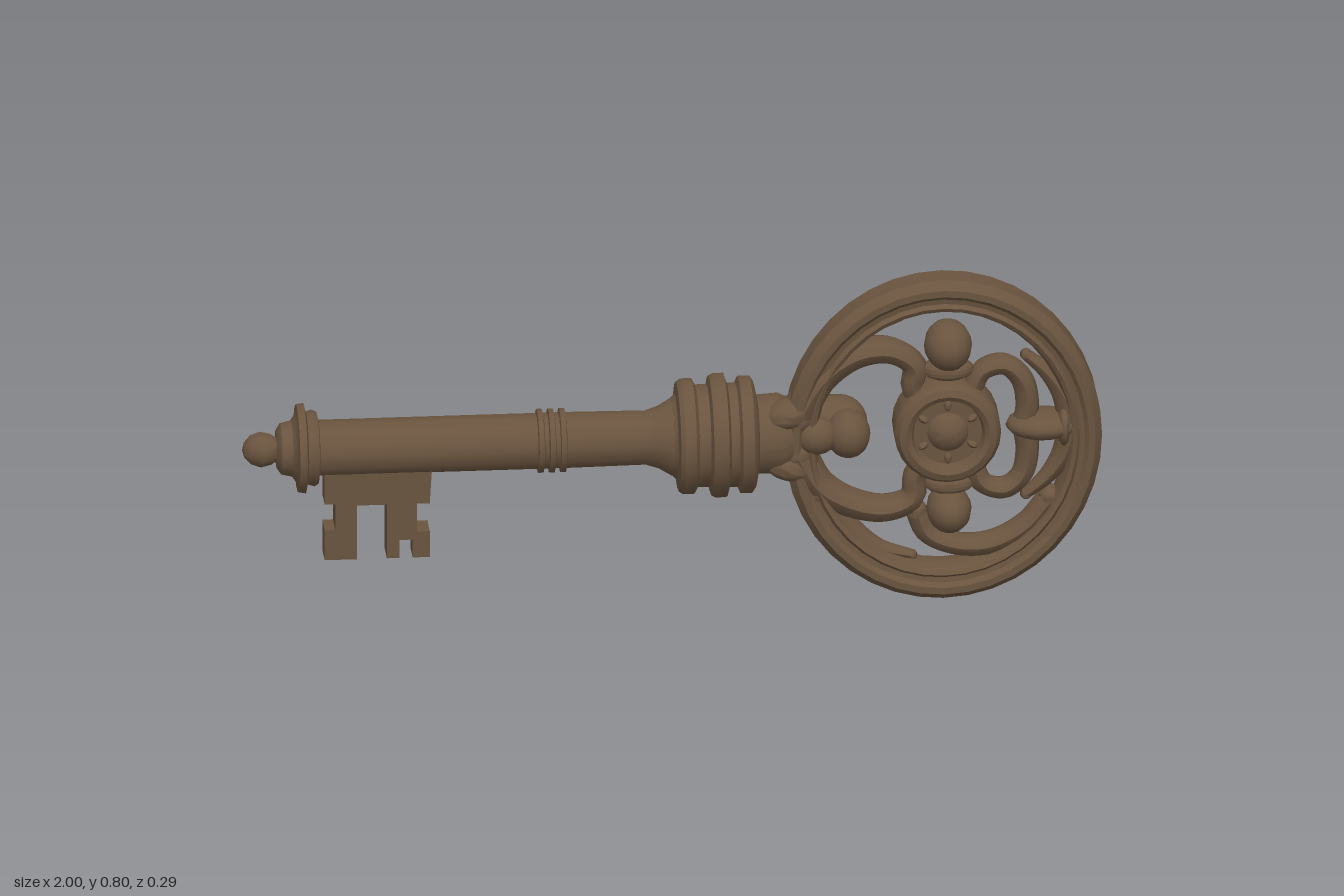
import * as THREE from 'three';
import { toCreasedNormals } from 'three/addons/utils/BufferGeometryUtils.js';

const AXIS_Y = 0.405; // height of the shaft
const BOW_Z = 0.024;  // middle plane of the bow

export function createModel() {
  const key = new THREE.Group();
  key.name = 'ornateKey';
  const bronze = new THREE.MeshStandardMaterial({ color: 0x6a543f });
  bronze.name = 'agedBronze';

  const add = (name, geo, x = 0, y = 0, z = 0, crease = 0.6) => {
    const mesh = new THREE.Mesh(toCreasedNormals(geo, crease), bronze);
    mesh.name = name;
    mesh.position.set(x, y, z);
    key.add(mesh);
    return mesh;
  };
  const vec2 = (list) => list.map(([a, b]) => new THREE.Vector2(a, b));

  // turned part along x, profile as [x, radius]
  const turned = (name, profile, sides = 18) =>
    add(name, new THREE.LatheGeometry(vec2(profile.map(([x, r]) => [r, x])), sides).rotateZ(-Math.PI / 2), 0, AXIS_Y, 0);

  // turned part facing z, profile as [radius, z]
  const disc = (name, profile, x, y, sides = 24) =>
    add(name, new THREE.LatheGeometry(vec2(profile), sides).rotateX(Math.PI / 2), x, y, BOW_Z);

  const blob = (name, x, y, z, rx, ry, rz, turn = 0) =>
    add(name, new THREE.SphereGeometry(1, 14, 10).scale(rx, ry, rz).rotateZ(turn), x, y, z, 1);

  // tapered scroll through [x, y] points, radius from r0 to r1
  const scroll = (name, points, r0, r1, depth = 1.25) => {
    const curve = new THREE.CatmullRomCurve3(points.map(([x, y]) => new THREE.Vector3(x, y, 0)));
    const steps = 28, sides = 8;
    const geo = new THREE.TubeGeometry(curve, steps, 1, sides);
    const pos = geo.attributes.position;
    const v = new THREE.Vector3();
    for (let i = 0; i < pos.count; i++) {
      const t = Math.floor(i / (sides + 1)) / steps;
      const c = curve.getPointAt(t);
      const r = r0 + (r1 - r0) * t;
      v.fromBufferAttribute(pos, i).sub(c).multiplyScalar(r).add(c);
      pos.setXYZ(i, v.x, v.y, v.z * depth);
    }
    add(name, geo, 0, 0, BOW_Z, 0.9);
    [[points[0], r0], [points[points.length - 1], r1]].forEach(([p, r]) =>
      blob(name + 'End', p[0], p[1], BOW_Z, r, r, r * depth));
  };

  // shaft with end knob, end flange and middle rings
  turned('endKnob', [[-1, 0], [-0.995, 0.018], [-0.98, 0.034], [-0.957, 0.042], [-0.933, 0.036], [-0.918, 0.026], [-0.9, 0.03]]);
  turned('endFlange', [[-0.92, 0], [-0.92, 0.045], [-0.91, 0.06], [-0.885, 0.066], [-0.875, 0.08], [-0.872, 0.103],
    [-0.855, 0.106], [-0.85, 0.085], [-0.835, 0.09], [-0.825, 0.085], [-0.822, 0.066]]);
  turned('shaft', [[-0.84, 0], [-0.84, 0.066], [-0.24, 0.066], [-0.06, 0.064], [-0.03, 0.074], [0, 0.092], [0.03, 0.098]], 14);
  for (let i = 0; i < 3; i++) {
    const x = -0.315 + i * 0.026;
    turned('shaftRing' + i, [[x, 0.06], [x + 0.003, 0.075], [x + 0.015, 0.075], [x + 0.018, 0.06]]);
  }

  // ribbed collar between shaft and bow
  turned('collar', [[-0.01, 0.08], [0.01, 0.1], [0.014, 0.128], [0.024, 0.135], [0.05, 0.135], [0.058, 0.12], [0.085, 0.12],
    [0.09, 0.14], [0.1, 0.145], [0.125, 0.145], [0.132, 0.122], [0.152, 0.122], [0.158, 0.137], [0.185, 0.137],
    [0.193, 0.125], [0.2, 0.092], [0.25, 0.095], [0.28, 0.08], [0.3, 0]], 20);

  // rounded peg behind the bow and beads in front of it
  const peg = new THREE.CapsuleGeometry(0.065, 0.17, 6, 14).rotateZ(Math.PI / 2);
  add('backPeg', peg, 0.31, 0.415, -0.033, 1);
  blob('frontBeadSmall', 0.335, 0.415, 0.045, 0.05, 0.045, 0.045);
  blob('frontBeadLarge', 0.41, 0.412, 0.03, 0.052, 0.058, 0.06);
  [1, -1].forEach((s) => blob('collarClaw', 0.27, AXIS_Y + s * 0.065, 0.035, 0.06, 0.035, 0.055, s * 0.25));

  // grooved oval rim of the bow
  const rim = disc('bowRim', [[0.382, -0.053], [0.4, -0.03], [0.4, 0.03], [0.382, 0.053], [0.366, 0.053], [0.356, 0.042],
    [0.344, 0.04], [0.336, 0.05], [0.326, 0.044], [0.317, 0.022], [0.317, -0.022], [0.326, -0.044], [0.336, -0.05],
    [0.344, -0.04], [0.356, -0.042], [0.366, -0.053], [0.382, -0.053]], 0.63, 0.4, 40);
  rim.scale.x = 0.925;

  // central rosette with the same relief front and back
  const relief = [[0, 0.068], [0.022, 0.064], [0.042, 0.05], [0.048, 0.036], [0.08, 0.036], [0.086, 0.056],
    [0.098, 0.064], [0.114, 0.058], [0.124, 0.042]];
  const back = relief.map(([r, z]) => [r, -z]);
  disc('rosette', [...back, ...relief.slice().reverse()], 0.64, 0.42);
  for (let i = 0; i < 6; i++) {
    const a = (i / 6) * Math.PI * 2 + Math.PI / 6;
    blob('rosettePetal' + i, 0.64 + Math.cos(a) * 0.066, 0.42 + Math.sin(a) * 0.066, BOW_Z, 0.02, 0.013, 0.05, a);
  }

  // balls above and below the rosette
  blob('topBall', 0.643, 0.626, 0.028, 0.056, 0.06, 0.074);
  blob('topBallSeat', 0.643, 0.565, BOW_Z, 0.062, 0.026, 0.045);
  blob('bottomBall', 0.645, 0.215, 0.028, 0.053, 0.055, 0.077);
  blob('bottomBallSeat', 0.645, 0.28, BOW_Z, 0.06, 0.026, 0.045);

  // scrolls filling the bow
  scroll('upperLeftScroll', [[0.29, 0.46], [0.35, 0.555], [0.43, 0.61], [0.51, 0.615], [0.565, 0.575], [0.56, 0.525], [0.57, 0.5]], 0.045, 0.026);
  scroll('lowerLeftScroll', [[0.29, 0.37], [0.34, 0.285], [0.42, 0.235], [0.5, 0.22], [0.56, 0.245], [0.565, 0.3], [0.58, 0.33]], 0.045, 0.026);
  scroll('upperRightScroll', [[0.7, 0.515], [0.725, 0.56], [0.775, 0.572], [0.815, 0.535], [0.828, 0.47], [0.82, 0.42]], 0.025, 0.028);
  scroll('lowerRightScroll', [[0.7, 0.325], [0.725, 0.275], [0.775, 0.262], [0.815, 0.295], [0.828, 0.36], [0.82, 0.42]], 0.025, 0.028);
  scroll('bottomSweep', [[0.57, 0.21], [0.595, 0.155], [0.66, 0.125], [0.74, 0.125], [0.82, 0.165], [0.88, 0.235]], 0.026, 0.03);
  scroll('bottomLeftLeaf', [[0.34, 0.27], [0.4, 0.19], [0.48, 0.125], [0.56, 0.1]], 0.036, 0.012);
  scroll('topLeftLeaf', [[0.33, 0.53], [0.38, 0.61], [0.45, 0.67], [0.53, 0.7]], 0.036, 0.012);

  // three-petalled lily at the far end of the bow
  blob('lilyMiddlePetal', 0.865, 0.42, BOW_Z, 0.088, 0.034, 0.068);
  blob('lilyBand', 0.912, 0.42, BOW_Z, 0.018, 0.055, 0.06);
  [1, -1].forEach((s) => scroll(s > 0 ? 'lilyUpperPetal' : 'lilyLowerPetal',
    [[0.935, 0.42], [0.912, 0.42 + s * 0.075], [0.875, 0.42 + s * 0.13], [0.825, 0.42 + s * 0.175]], 0.036, 0.014));

  // toothed bit hanging from the shaft
  const bit = new THREE.Shape(vec2([[-0.81, 0.4], [-0.81, 0.275], [-0.785, 0.275], [-0.785, 0.21], [-0.81, 0.21], [-0.81, 0.135],
    [-0.735, 0.135], [-0.735, 0.27], [-0.665, 0.27], [-0.665, 0.135], [-0.635, 0.135], [-0.635, 0.18], [-0.605, 0.18],
    [-0.605, 0.135], [-0.565, 0.135], [-0.565, 0.2], [-0.595, 0.2], [-0.595, 0.27], [-0.565, 0.27], [-0.557, 0.4]]));
  add('bit', new THREE.ExtrudeGeometry(bit, { depth: 0.066, bevelEnabled: false }), 0, 0, -0.033);

  return key;
}
